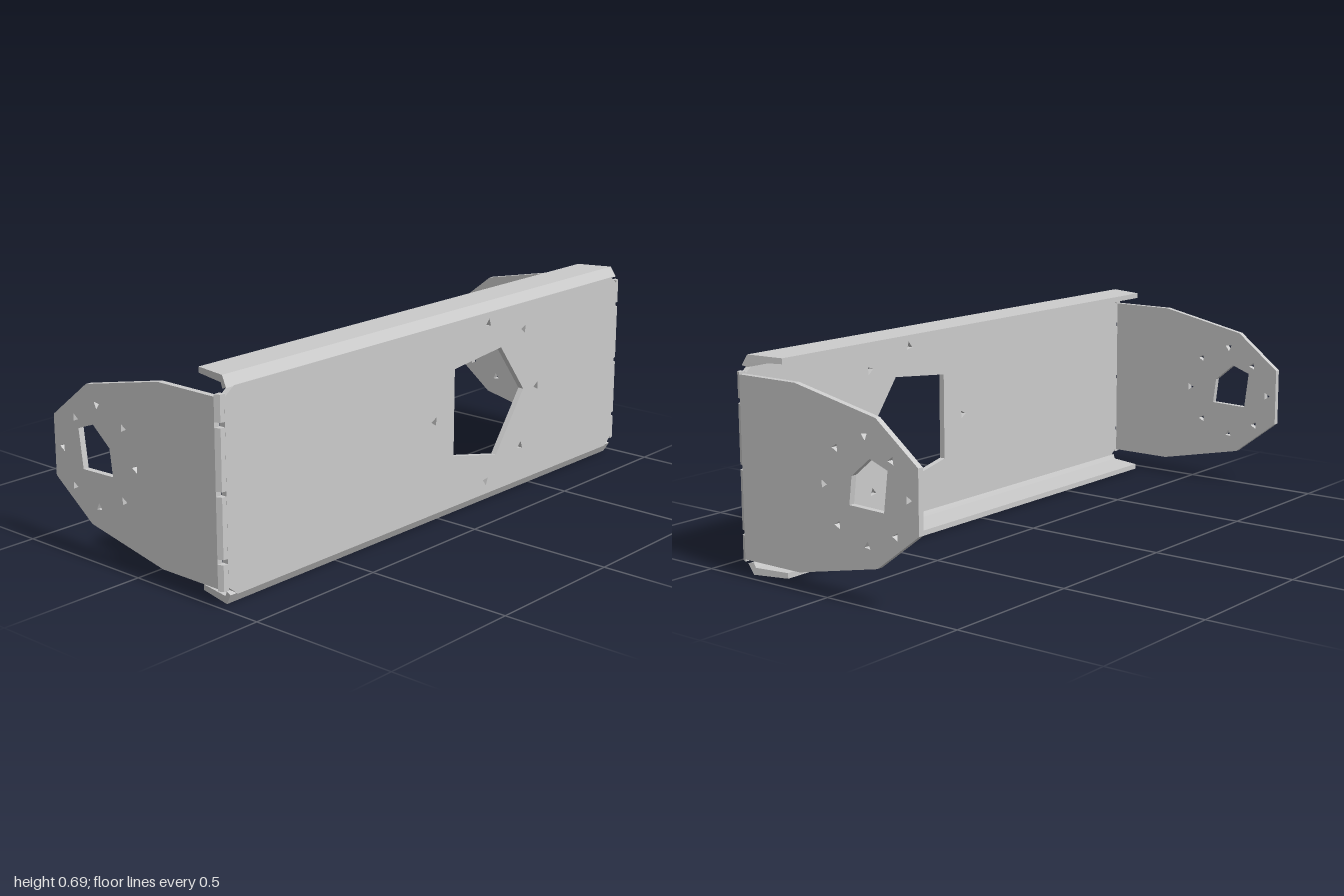
import * as THREE from 'three';

const material = new THREE.MeshStandardMaterial({ color: 0xcccccc, flatShading: true, side: THREE.DoubleSide });
const T = 0.02; // sheet thickness

const points = (list) => list.map(([a, b]) => new THREE.Vector2(a, b));

// Small three-sided screw hole
const screwHole = ([a, b], r = 0.016) =>
  [0, 1, 2].map((i) => [a + r * Math.cos(i * 2.094 + b * 9), b + r * Math.sin(i * 2.094 + b * 9)]);

function sheet(outline, holes, depth) {
  const shape = new THREE.Shape(points(outline));
  holes.forEach((h) => shape.holes.push(new THREE.Path(points(h))));
  return new THREE.ExtrudeGeometry(shape, { depth, bevelEnabled: false });
}

function addMesh(parent, name, geometry) {
  const mesh = new THREE.Mesh(geometry, material);
  mesh.name = name;
  parent.add(mesh);
  return mesh;
}

export function createModel() {
  const model = new THREE.Group();
  model.name = 'mountingBracket';

  // Front plate with a five-sided opening ringed by screw holes
  const frontOutline = [
    [-0.94, 0.03], [0.94, 0.03], [0.977, 0.06], [0.977, 0.63],
    [0.94, 0.657], [-0.94, 0.657], [-0.977, 0.63], [-0.977, 0.06],
  ];
  const frontOpening = [[0.055, 0.205], [0.285, 0.155], [0.43, 0.355], [0.3, 0.525], [0.055, 0.5]];
  const frontScrews = [[-0.045, 0.345], [0.23, 0.62], [0.425, 0.565], [0.505, 0.35], [0.42, 0.155], [0.23, 0.075]];
  addMesh(model, 'frontPlate', sheet(frontOutline, [frontOpening, ...frontScrews.map((p) => screwHole(p))], T)
    .translate(0, 0, 0.345));

  // Top and bottom flanges: a bent profile whose ends taper toward the back
  const flangeProfile = [
    [0.365, 0.655], [0.345, 0.689], [0.223, 0.686], [0.223, 0.668], [0.338, 0.666], [0.345, 0.65],
  ];
  for (const top of [true, false]) {
    const profile = flangeProfile.map(([z, y]) => [z, top ? y : 0.689 - y]);
    const geometry = sheet(profile, [], 2).rotateY(-Math.PI / 2).translate(1, 0, 0);
    const pos = geometry.attributes.position;
    for (let i = 0; i < pos.count; i++) {
      const t = (pos.getZ(i) - 0.223) / 0.142;
      pos.setX(i, Math.sign(pos.getX(i)) * (0.94 + 0.03 * t));
    }
    geometry.computeVertexNormals();
    addMesh(model, top ? 'topFlange' : 'bottomFlange', geometry);
  }

  // Side arms, drawn in z and y
  const armOutline = [
    [0.345, 0.057], [0.113, 0.057], [-0.202, 0.123], [-0.363, 0.245],
    [-0.363, 0.443], [-0.205, 0.567], [0.113, 0.633], [0.345, 0.633],
  ];
  const armOpening = [[-0.097, 0.297], [-0.232, 0.293], [-0.248, 0.42], [-0.18, 0.445], [-0.108, 0.385]];
  const armScrews = [
    [0.005, 0.345], [-0.045, 0.46], [-0.16, 0.51], [-0.262, 0.45],
    [-0.325, 0.345], [-0.275, 0.23], [-0.165, 0.185], [-0.05, 0.23],
  ];
  const bendSpans = [[0.05, 0.132], [0.148, 0.337], [0.353, 0.542], [0.558, 0.64]];
  for (const side of [1, -1]) {
    const arm = new THREE.Group();
    arm.name = side > 0 ? 'leftArm' : 'rightArm';
    addMesh(arm, 'armPlate', sheet(armOutline, [armOpening, ...armScrews.map((p) => screwHole(p, 0.014))], T)
      .rotateY(-Math.PI / 2).translate(side > 0 ? 1 : T - 1, 0, 0));

    // Corner bend joining the arm to the front plate, with small relief gaps
    const bend = [[0.975, 0.365], [0.992, 0.362], [1, 0.345], [0.98, 0.343], [0.975, 0.345]]
      .map(([x, z]) => [x * side, z]);
    bendSpans.forEach(([low, high]) => {
      addMesh(arm, 'cornerBend', sheet(bend, [], high - low).rotateX(Math.PI / 2).translate(0, high, 0));
    });
    model.add(arm);
  }

  return model;
}
